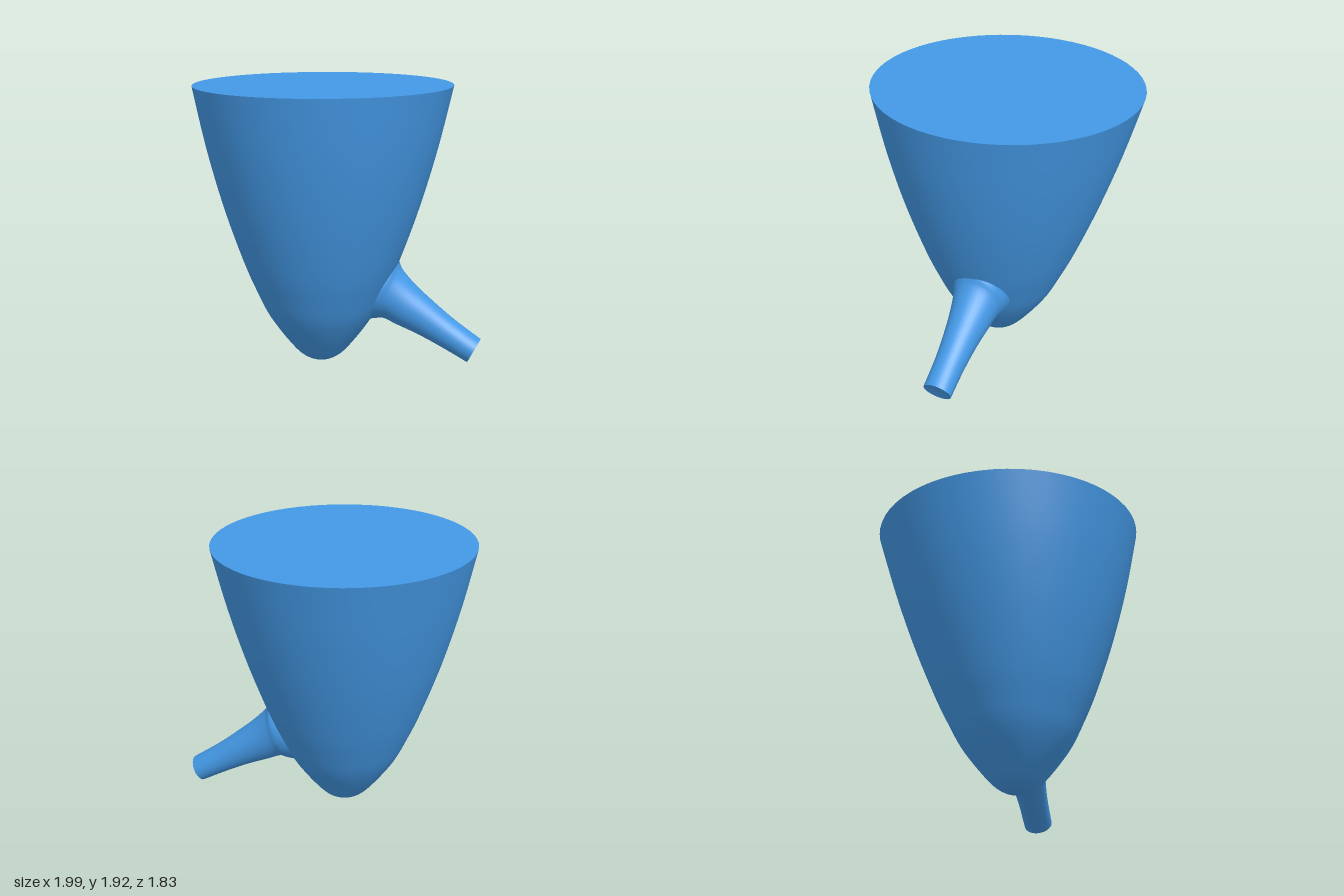
import * as THREE from 'three';
import { mergeVertices } from 'three/addons/utils/BufferGeometryUtils.js';

const HEIGHT = 1.92;
const CENTRE_X = -0.12;
const material = new THREE.MeshStandardMaterial({ color: 0x4499e6 });

// slight organic lean: the round profile widens in depth and its tip shifts forward
function leanCup(geometry) {
  const p = geometry.attributes.position;
  for (let i = 0; i < p.count; i++) {
    const t = p.getY(i) / HEIGHT;
    const depth = 1 + 0.04 * t;
    p.setX(i, p.getX(i) + CENTRE_X);
    p.setZ(i, p.getZ(i) * depth + 0.065 * (1 - Math.pow(t, 1.5)));
  }
  return geometry;
}

function smooth(geometry) {
  geometry.deleteAttribute('uv');
  geometry.deleteAttribute('normal');
  const merged = mergeVertices(geometry, 1e-4);
  merged.computeVertexNormals();
  return merged;
}

// tapered tube through ellipses given by top point, bottom point and half width
function buildSpout() {
  const stations = [
    [0.30, 0.74, 0.14, 0.30, 0.20],
    [0.40, 0.73, 0.25, 0.31, 0.19],
    [0.43, 0.67, 0.31, 0.32, 0.17],
    [0.52, 0.57, 0.41, 0.28, 0.145],
    [0.66, 0.45, 0.56, 0.22, 0.12],
    [0.80, 0.34, 0.72, 0.145, 0.105],
    [0.99, 0.21, 0.905, 0.05, 0.10],
  ];
  const curve = (fn) => new THREE.CatmullRomCurve3(stations.map(fn));
  const top = curve((s) => new THREE.Vector3(s[0], s[1], s[4]));
  const bottom = curve((s) => new THREE.Vector3(s[2], s[3], s[4]));
  const rings = 24, sides = 32;
  const positions = [], indices = [];
  for (let i = 0; i <= rings; i++) {
    const a = top.getPoint(i / rings), b = bottom.getPoint(i / rings);
    for (let j = 0; j < sides; j++) {
      const angle = (j / sides) * Math.PI * 2;
      const k = (1 + Math.cos(angle)) / 2;
      positions.push(b.x + (a.x - b.x) * k, b.y + (a.y - b.y) * k, a.z * Math.sin(angle));
      if (i === rings) continue;
      const p = i * sides + j, q = i * sides + (j + 1) % sides;
      indices.push(p, q, p + sides, q, q + sides, p + sides);
    }
  }
  // flat end with its own vertices, so its edge stays sharp
  const rim = positions.slice(-sides * 3);
  const start = positions.length / 3;
  positions.push(...rim, 0.94, 0.13, 0);
  for (let j = 0; j < sides; j++) {
    indices.push(start + sides, start + j, start + (j + 1) % sides);
  }
  const geometry = new THREE.BufferGeometry();
  geometry.setAttribute('position', new THREE.Float32BufferAttribute(positions, 3));
  geometry.setIndex(indices);
  geometry.computeVertexNormals();
  return geometry;
}

export function createModel() {
  const model = new THREE.Group();
  model.name = 'spoutedCup';
  const add = (name, geometry) => {
    const mesh = new THREE.Mesh(geometry, material);
    mesh.name = name;
    model.add(mesh);
  };

  // rounded-cone body
  const profile = new THREE.SplineCurve([
    [0, 0], [0.09, 0.02], [0.19, 0.1], [0.355, 0.32], [0.455, 0.52],
    [0.547, 0.74], [0.672, 1.1], [0.785, 1.5], [0.88, HEIGHT],
  ].map(([r, y]) => new THREE.Vector2(r, y))).getPoints(48);
  profile.forEach((p) => { p.x = Math.max(p.x, 0); p.y = Math.max(p.y, 0); });
  add('body', smooth(leanCup(new THREE.LatheGeometry(profile, 64))));

  // flat top
  const lid = new THREE.CircleGeometry(0.88, 64).rotateX(-Math.PI / 2).translate(0, HEIGHT, 0);
  add('topFace', leanCup(lid));

  // side spout, flared where it meets the body
  add('spout', buildSpout());
  return model;
}
